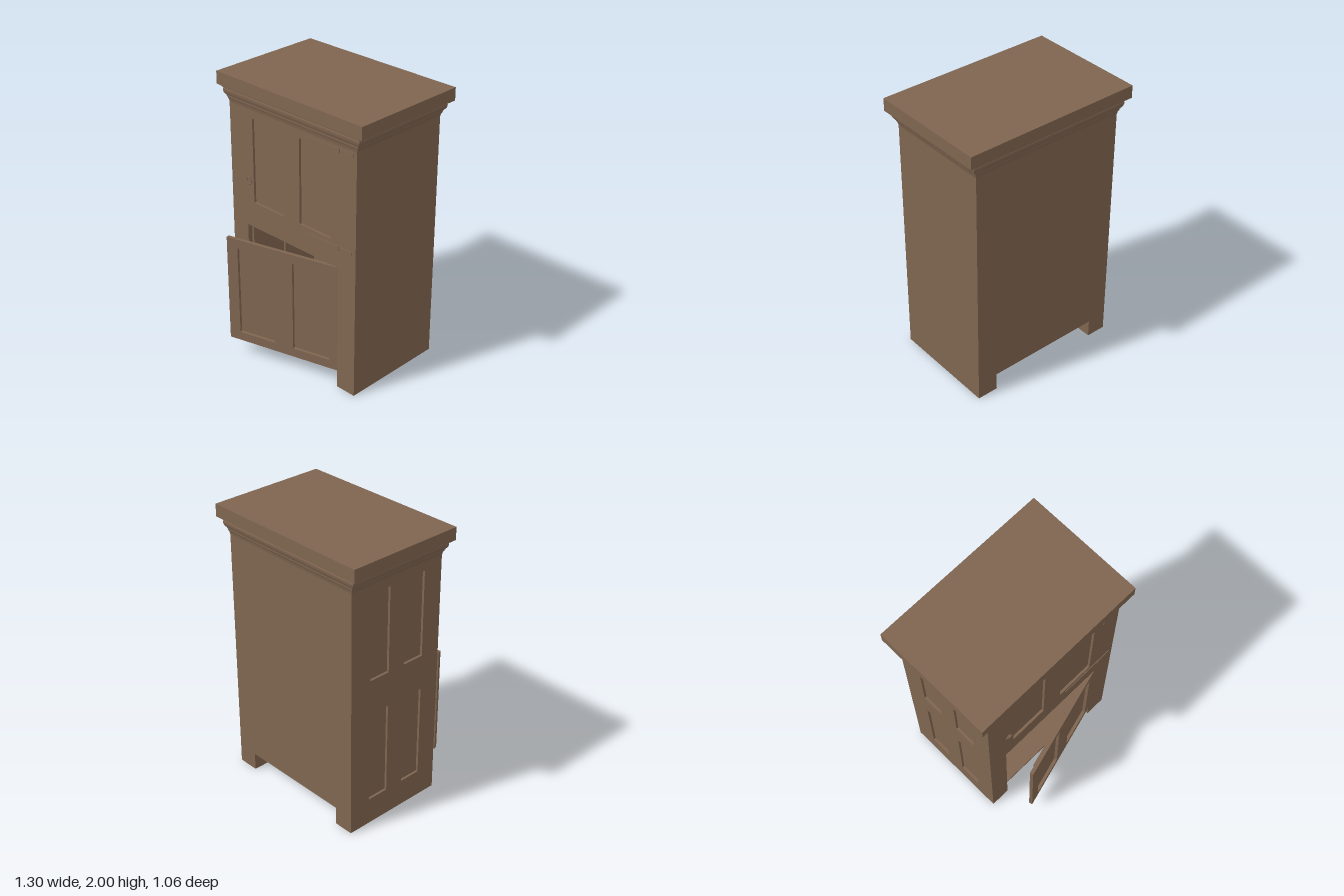
import * as THREE from 'three';

const wood = new THREE.MeshStandardMaterial({ color: 0x7f6550 });
wood.name = 'brown wood';

const W = 0.575, BACK = -0.48, FRONT = 0.30, T = 0.02;   // cabinet half width, depth range, wall thickness
const LOW = [0.195, 0.865], HIGH = [1.12, 1.735];        // heights of the panel rows

function add(parent, name, geometry) {
  const mesh = new THREE.Mesh(geometry, wood);
  mesh.name = name;
  parent.add(mesh);
  return mesh;
}

function box(parent, name, x0, x1, y0, y1, z0, z1) {
  const mesh = add(parent, name, new THREE.BoxGeometry(x1 - x0, y1 - y0, z1 - z0));
  mesh.position.set((x0 + x1) / 2, (y0 + y1) / 2, (z0 + z1) / 2);
  return mesh;
}

const polygon = (pts) => new THREE.Shape(pts.map(([x, y]) => new THREE.Vector2(x, y)));
const rect = (x0, x1, y0, y1) => [[x0, y0], [x1, y0], [x1, y1], [x0, y1]];

// Flat board with its face at local z = 0 and recessed panels [x0, x1, y0, y1]
function panelledBoard(parent, name, outline, panels, thickness = T) {
  const board = new THREE.Group();
  board.name = name;
  const shape = polygon(outline);
  for (const p of panels) shape.holes.push(polygon(rect(...p)));
  const geometry = new THREE.ExtrudeGeometry(shape, { depth: thickness, bevelEnabled: false });
  geometry.translate(0, 0, -thickness);
  add(board, name + 'Frame', geometry);
  for (const [x0, x1, y0, y1] of panels) {
    box(board, name + 'Panel', x0 - 0.003, x1 + 0.003, y0 - 0.003, y1 + 0.003, -thickness - 0.016, -thickness + 0.003);
  }
  parent.add(board);
  return board;
}

// Moulding from rectangular rings [y, offset], each step flat shaded
function mouldingGeometry(profile) {
  const positions = [];
  const ring = ([y, o]) => {
    const x = W + o, zf = FRONT + o * 0.6, zb = BACK - o * 0.7;
    return [[-x, y, zf], [x, y, zf], [x, y, zb], [-x, y, zb]];
  };
  for (let i = 0; i < profile.length - 1; i++) {
    const a = ring(profile[i]), b = ring(profile[i + 1]);
    for (let k = 0; k < 4; k++) {
      const n = (k + 1) % 4;
      for (const v of [a[k], a[n], b[n], a[k], b[n], b[k]]) positions.push(...v);
    }
  }
  const geometry = new THREE.BufferGeometry();
  geometry.setAttribute('position', new THREE.Float32BufferAttribute(positions, 3));
  geometry.computeVertexNormals();
  return geometry;
}

// Long strap hinge with a pin barrel
function hinge(parent, y) {
  const group = new THREE.Group();
  group.name = 'strapHinge';
  const half = [[0.127, 0.002], [0.15, 0.006], [0.22, 0.005], [0.30, 0.006], [0.33, 0.011], [0.36, 0.008],
    [0.40, 0.012], [0.48, 0.011], [0.51, 0.009], [0.53, 0.014], [0.545, 0.013]];
  const outline = [...half.map(([x, h]) => [x, -h]), ...half.slice().reverse()];
  add(group, 'hingeStrap', new THREE.ExtrudeGeometry(polygon(outline), { depth: 0.006, bevelEnabled: false }));
  const barrel = add(group, 'hingeBarrel', new THREE.CylinderGeometry(0.006, 0.006, 0.034, 10));
  barrel.position.set(0.43, 0, 0.005);
  group.position.set(0, y, FRONT - 0.001);
  parent.add(group);
}

export function createModel() {
  const model = new THREE.Group();
  model.name = 'cabinet';

  // Front wall: lower doorway runs down into the gap between the feet
  const front = panelledBoard(model, 'front',
    [[-W, 0], [-0.43, 0], [-0.43, 0.93], [0.42, 0.93], [0.42, 0], [W, 0], [W, 1.905], [-W, 1.905]],
    [[-0.36, -0.08, ...HIGH], [0.075, 0.355, ...HIGH]]);
  front.position.z = FRONT;

  // Panelled right side
  const sidePanels = [];
  for (const row of [LOW, HIGH]) {
    for (const [z0, z1] of [[-0.317, -0.154], [-0.014, 0.149]]) sidePanels.push([z0, z1, ...row]);
  }
  const side = panelledBoard(model, 'rightSide', rect(BACK + T, FRONT - T, 0, 1.905), sidePanels);
  side.rotation.y = -Math.PI / 2;
  side.position.x = -W;

  // Plain left side, and back with a gap between the feet
  box(model, 'leftSide', W - T, W, 0, 1.905, BACK + T, FRONT - T);
  const back = panelledBoard(model, 'back',
    [[-W, 0], [-0.43, 0], [-0.43, 0.13], [0.42, 0.13], [0.42, 0], [W, 0], [W, 1.905], [-W, 1.905]], []);
  back.position.z = BACK + T;

  // Feet, floor and middle shelf
  box(model, 'rightFoot', -W + T, -0.43, 0, 0.13, BACK + T, FRONT - T);
  box(model, 'leftFoot', 0.42, W - T, 0, 0.13, BACK + T, FRONT - T);
  box(model, 'floor', -W + T, W - T, 0.13, 0.15, BACK + T, FRONT - T);
  box(model, 'shelf', -W + T, W - T, 0.95, 0.97, BACK + T, FRONT - T);

  // Crown
  add(model, 'crownMoulding', mouldingGeometry([
    [1.795, 0], [1.815, 0.005], [1.825, 0.012], [1.835, 0.013], [1.836, 0.017], [1.845, 0.018], [1.846, 0.024],
    [1.855, 0.031], [1.868, 0.036], [1.882, 0.037], [1.892, 0.032], [1.893, 0.04], [1.903, 0.04], [1.904, 0.056], [1.912, 0.06]]));
  box(model, 'topSlab', -0.65, 0.65, 1.91, 2, -0.53, 0.34);

  // Lower door, hinged on the left and standing ajar
  const door = panelledBoard(model, 'lowerDoor', rect(-0.85, 0, 0.13, 0.93),
    [[-0.767, -0.487, ...LOW], [-0.342, -0.062, ...LOW]], 0.025);
  door.position.set(0.42, 0, FRONT);
  door.rotation.y = 0.268;

  // Upper door fittings
  hinge(model, 1.765);
  hinge(model, 1.08);
  const pull = new THREE.Group();
  pull.name = 'ringPull';
  add(pull, 'ring', new THREE.TorusGeometry(0.024, 0.004, 8, 24));
  const boss = add(pull, 'ringBoss', new THREE.CylinderGeometry(0.009, 0.011, 0.012, 12));
  boss.rotation.x = Math.PI / 2;
  boss.position.set(0, 0.024, 0.001);
  pull.position.set(-0.4, 1.275, FRONT + 0.004);
  model.add(pull);

  return model;
}
